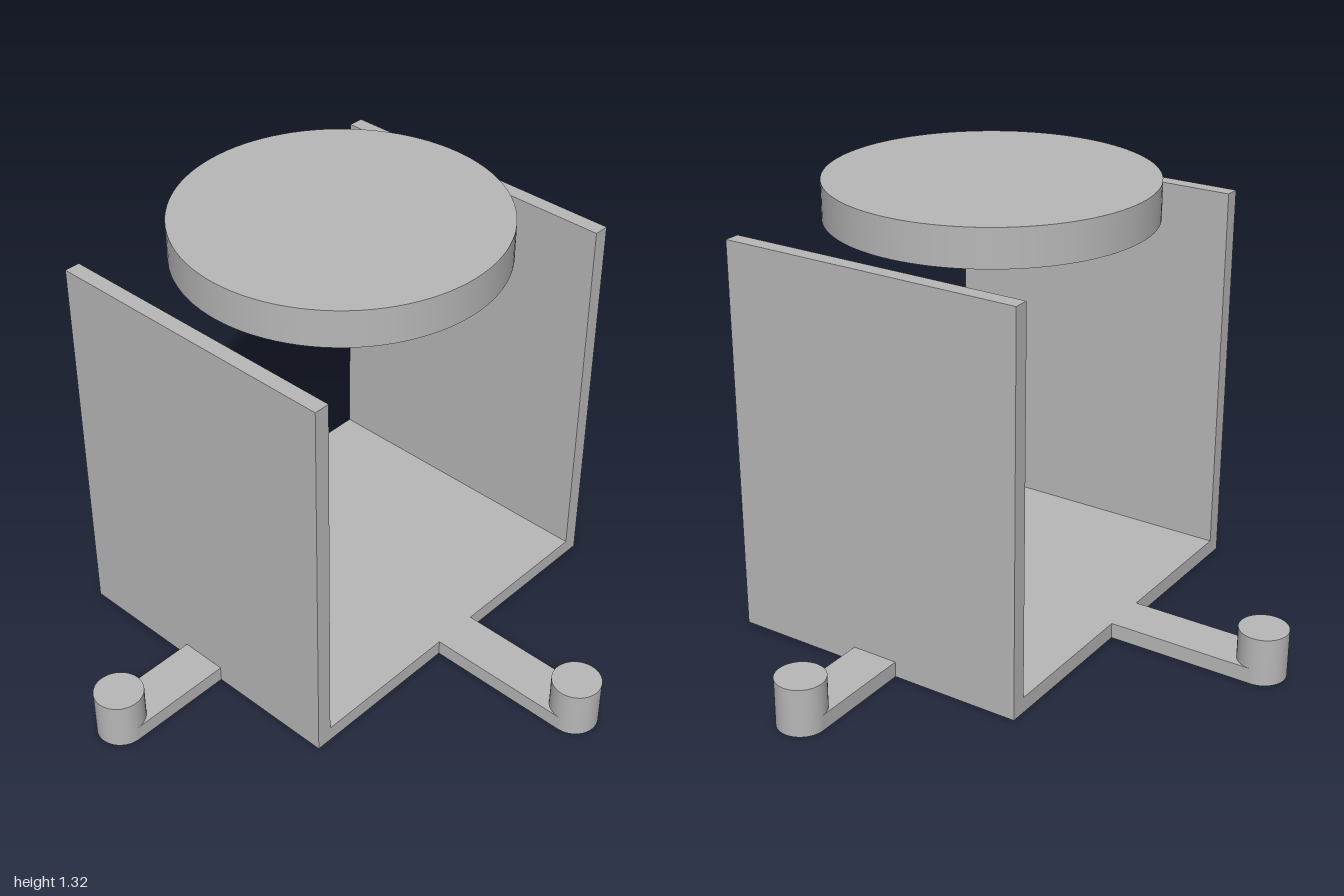
import * as THREE from 'three';

export function createModel() {
  const model = new THREE.Group();
  const grey = new THREE.MeshStandardMaterial({ color: 0xb8b8b8 });
  grey.name = 'plain grey';

  const W = 0.6, D = 0.475, T = 0.048, H = 1.205; // half width, half depth, thickness, wall height
  const postR = 0.073, postH = 0.147, reach = 1 - postR;

  const add = (name, geometry, parent, x = 0, y = 0, z = 0) => {
    const mesh = new THREE.Mesh(geometry, grey);
    mesh.name = name;
    mesh.position.set(x, y, z);
    parent.add(mesh);
    return mesh;
  };

  // U-shaped bracket: floor plate with two upright side walls
  const profile = new THREE.Shape([
    [-W, 0], [W, 0], [W, H], [W - T, H], [W - T, T], [-W + T, T], [-W + T, H], [-W, H],
  ].map(([x, y]) => new THREE.Vector2(x, y)));
  add('bracket', new THREE.ExtrudeGeometry(profile, { depth: 2 * D, bevelEnabled: false }), model, 0, 0, -D);

  // Round disc above the bracket
  const discH = 0.115;
  add('disc', new THREE.CylinderGeometry(0.485, 0.485, discH, 96), model, 0, H + discH / 2, 0);

  // Four arms, each ending in a short round post
  ['front', 'left', 'back', 'right'].forEach((side, i) => {
    const foot = new THREE.Group();
    foot.name = side + 'Foot';
    foot.rotation.y = i * Math.PI / 2;
    const start = i % 2 ? W : D;
    const length = reach - start;
    add(side + 'Arm', new THREE.BoxGeometry(2 * postR, T, length), foot, 0, T / 2, start + length / 2);
    add(side + 'Post', new THREE.CylinderGeometry(postR, postR, postH, 48), foot, 0, postH / 2, reach);
    model.add(foot);
  });

  return model;
}
